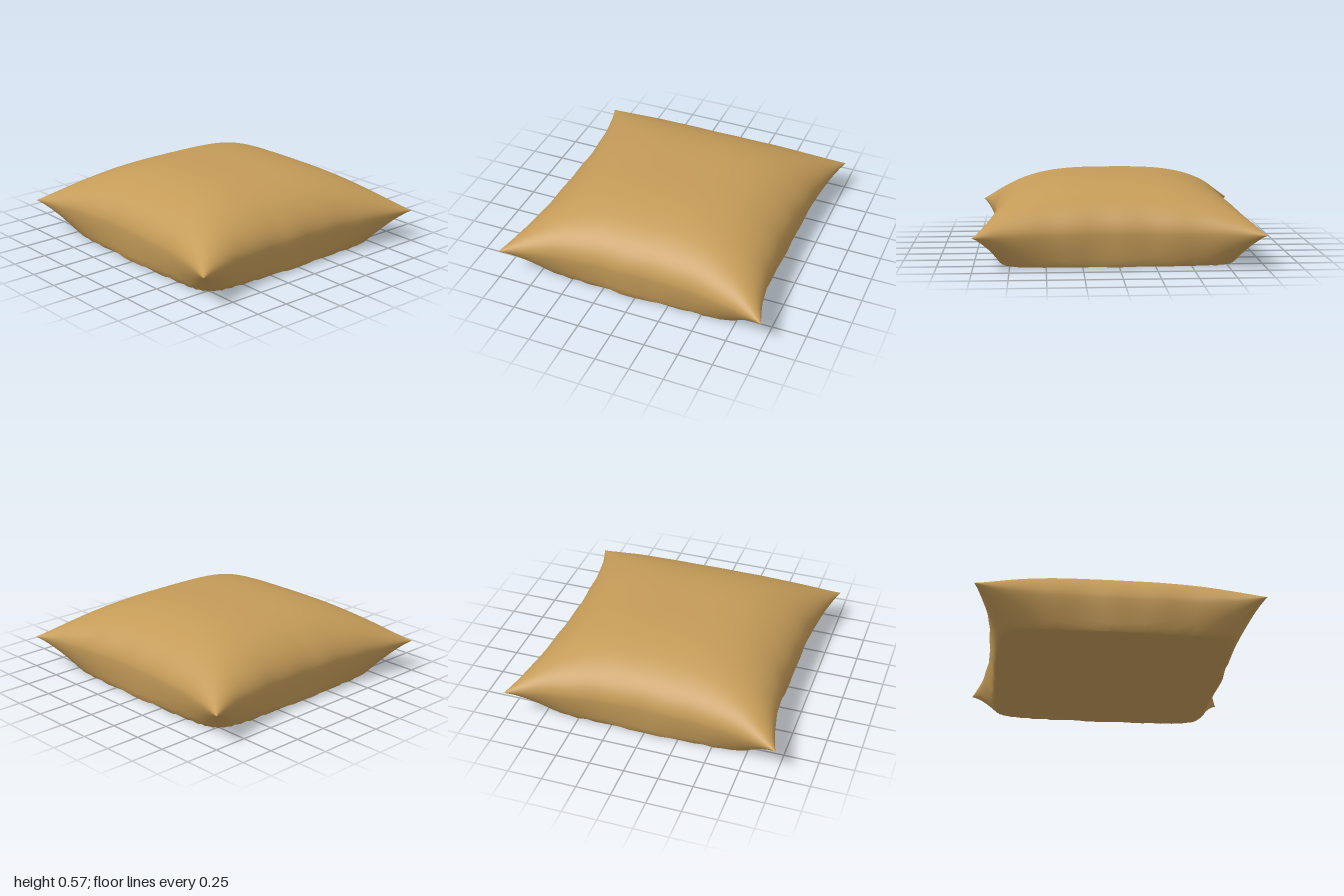
import * as THREE from 'three';
import { mergeGeometries, mergeVertices } from 'three/addons/utils/BufferGeometryUtils.js';

const SEAM_Y = 0.235;
const TOP_RISE = 0.34;

// Packs grid lines towards the seam, where the cloth curves most
const ease = (t) => Math.sin((Math.PI / 2) * THREE.MathUtils.clamp(t, -1, 1));

// Half-width of the cushion at a place along its edge: the corners stick out
const reach = (t) => 0.87 + 0.125 * Math.pow(Math.abs(t), 2.7);

// Small cloth folds, strongest just inside the seam, fading at the corners
const fold = (along, across, phase) =>
  0.007 * Math.sin(along * 13 + phase) * Math.sin(along * 5 + phase * 2) *
  Math.pow(Math.abs(across), 6) * (1 - along * along);

// One side of the cushion as a bent square sheet
function sheet(isTop) {
  const geometry = new THREE.PlaneGeometry(2, 2, 56, 56);
  geometry.rotateX(isTop ? -Math.PI / 2 : Math.PI / 2);
  const pos = geometry.attributes.position;
  for (let i = 0; i < pos.count; i++) {
    const u = ease(pos.getX(i));
    const v = ease(pos.getZ(i));
    const a = Math.max(0, 1 - Math.abs(u));
    const b = Math.max(0, 1 - Math.abs(v));
    let y;
    if (isTop) {
      // plump dome
      const dome = (1 - Math.abs(u) ** 3) * (1 - Math.abs(v) ** 3);
      y = SEAM_Y + TOP_RISE * Math.pow(Math.max(0, dome), 0.55);
    } else {
      // steep side settling onto a flat base
      y = SEAM_Y * (1 - Math.min(1, Math.pow((a * b) / 0.035, 0.6)));
    }
    const x = u * (reach(v) + fold(v, u, u > 0 ? 0.6 : 2.1));
    const z = v * (reach(u) + fold(u, v, v > 0 ? 1.4 : 3.3));
    pos.setXYZ(i, x, y, z);
  }
  geometry.deleteAttribute('uv');
  geometry.deleteAttribute('normal');
  return geometry;
}

export function createModel() {
  const group = new THREE.Group();
  group.name = 'cushion';

  const cloth = new THREE.MeshStandardMaterial({ color: 0xc49b58 });
  cloth.name = 'tan cloth';

  // Both sides joined along the seam so the cover shades smoothly
  const geometry = mergeVertices(mergeGeometries([sheet(true), sheet(false)]), 1e-4);
  geometry.computeVertexNormals();

  const cover = new THREE.Mesh(geometry, cloth);
  cover.name = 'cushionCover';
  group.add(cover);
  return group;
}
